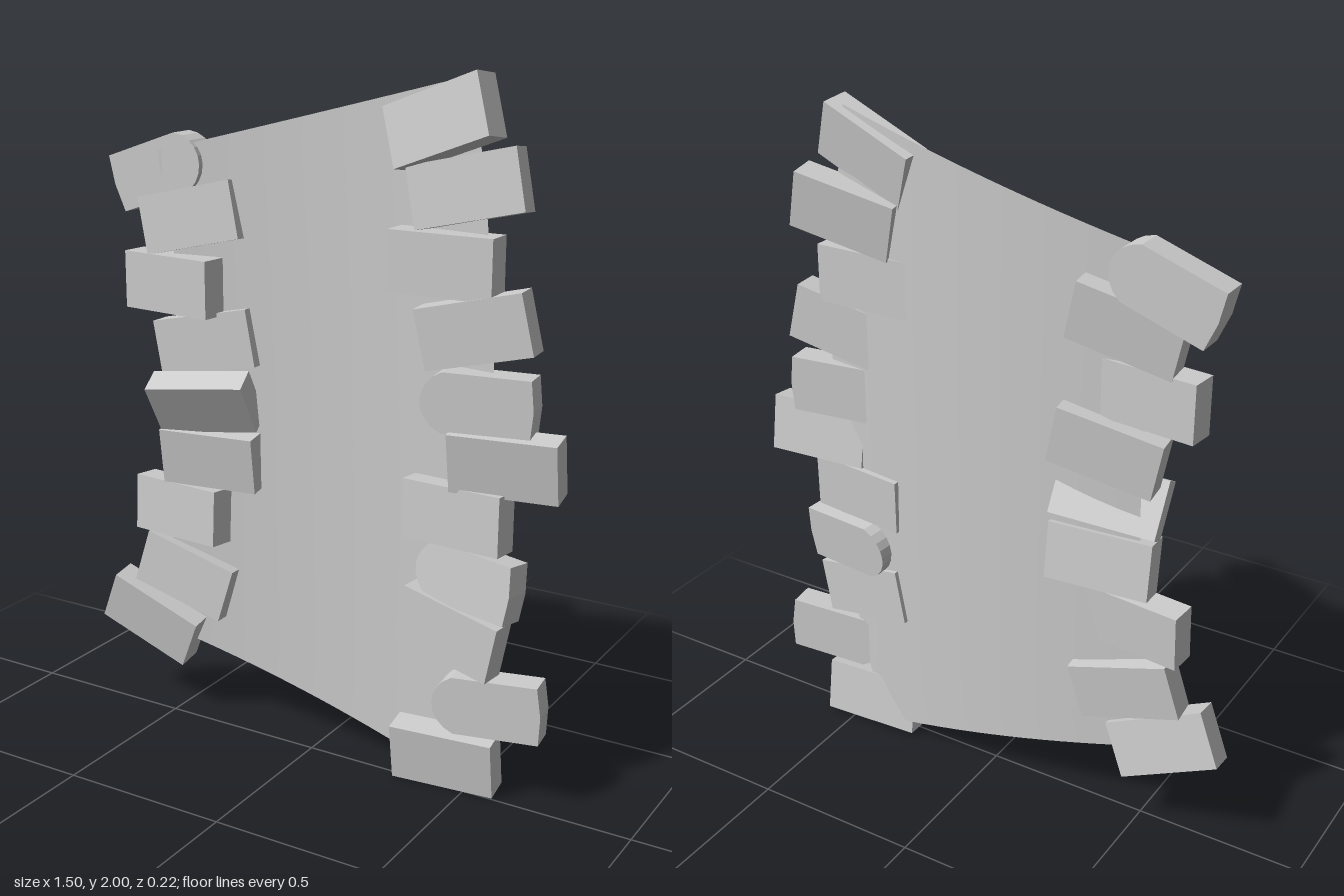
import * as THREE from 'three';

const W = 0.305, H = 0.168, D = 0.08;

// Plain block stone
const blockGeometry = new THREE.BoxGeometry(W, H, D);

// Stone with one blunt rounded end at -x
function roundedGeometry() {
  const s = new THREE.Shape();
  s.moveTo(W / 2, -H / 2);
  s.lineTo(W / 2 + 0.008, 0);
  s.lineTo(W / 2, H / 2);
  s.lineTo(-W / 2 + 0.06, H / 2);
  s.bezierCurveTo(-W / 2 - 0.02, H * 0.3, -W / 2 - 0.02, -H * 0.3, -W / 2 + 0.06, -H / 2);
  s.closePath();
  const g = new THREE.ExtrudeGeometry(s, { depth: D, bevelEnabled: false, curveSegments: 8 });
  g.translate(0, 0, -D / 2);
  return g;
}

// x, y, z, tilt about x, y and z, rounded end
const leftStones = [
  [0.385, 1.865, -0.015, -0.15, -0.17, 0.33],
  [0.447, 1.695, -0.05, -0.12, 0.1, 0.23],
  [0.4, 1.5, -0.015, 0, 0, 0],
  [0.5, 1.336, -0.01, 0, 0.1, 0.23],
  [0.51, 1.14, -0.01, 0, 0.13, 0, true],
  [0.595, 0.985, -0.01, 0.15, 0.1, 0],
  [0.455, 0.82, -0.01, -0.03, -0.1, 0.01],
  [0.49, 0.64, -0.02, -0.1, -0.17, -0.08, true],
  [0.447, 0.48, -0.01, 0, -0.1, -0.2],
  [0.565, 0.283, -0.01, 0, 0.13, 0.05, true],
  [0.435, 0.092, -0.015, 0.14, 0.08, 0],
];
const rightStones = [
  [-0.535, 1.68, -0.065, 0, 0, 0.33 + Math.PI, true],
  [-0.425, 1.55, -0.05, -0.08, 0.08, 0.23],
  [-0.48, 1.358, -0.02, 0, -0.1, 0],
  [-0.375, 1.19, -0.045, -0.04, 0.12, 0.2],
  [-0.365, 1.02, 0, 0.5, 0.2, 0],
  [-0.36, 0.845, -0.03, 0.12, 0.1, 0],
  [-0.465, 0.67, -0.02, -0.06, -0.1, 0],
  [-0.457, 0.457, -0.035, -0.05, 0.08, -0.28],
  [-0.575, 0.3, -0.015, 0.15, 0.04, -0.42],
];

// Thin, slightly bowed path surface between two curved edges
function pathGeometry() {
  const edge = (pts) => new THREE.CatmullRomCurve3(pts.map(([x, y]) => new THREE.Vector3(x, y, 0)));
  const left = edge([[0.4, 0.025], [0.52, 0.55], [0.55, 1.08], [0.52, 1.55], [0.46, 1.985]]);
  const right = edge([[-0.55, 0.27], [-0.5, 0.65], [-0.47, 1.02], [-0.48, 1.4], [-0.53, 1.735]]);
  const g = new THREE.PlaneGeometry(1, 1, 16, 20);
  const p = g.attributes.position;
  for (let i = 0; i < p.count; i++) {
    const u = p.getX(i) + 0.5, v = p.getY(i) + 0.5;
    const q = right.getPoint(v).lerp(left.getPoint(v), u);
    p.setXYZ(i, q.x, q.y, -0.065 + 0.15 * q.x * q.x);
  }
  g.computeVertexNormals();
  return g;
}

export function createModel() {
  const model = new THREE.Group();
  model.name = 'stoneEdgedPath';
  const stone = new THREE.MeshStandardMaterial({ color: 0xcccccc, flatShading: true });
  const surface = new THREE.MeshStandardMaterial({ color: 0xcccccc, side: THREE.DoubleSide });

  const path = new THREE.Mesh(pathGeometry(), surface);
  path.name = 'pathSurface';
  model.add(path);

  // Border stones along both sides
  const rounded = roundedGeometry();
  const addRow = (name, list) => {
    const row = new THREE.Group();
    row.name = name;
    list.forEach(([x, y, z, rx, ry, rz, isRound], i) => {
      const m = new THREE.Mesh(isRound ? rounded : blockGeometry, stone);
      m.name = `borderStone${i + 1}`;
      m.position.set(x, y, z);
      m.rotation.set(rx, ry, rz);
      row.add(m);
    });
    model.add(row);
  };
  addRow('leftBorder', leftStones);
  addRow('rightBorder', rightStones);
  return model;
}
